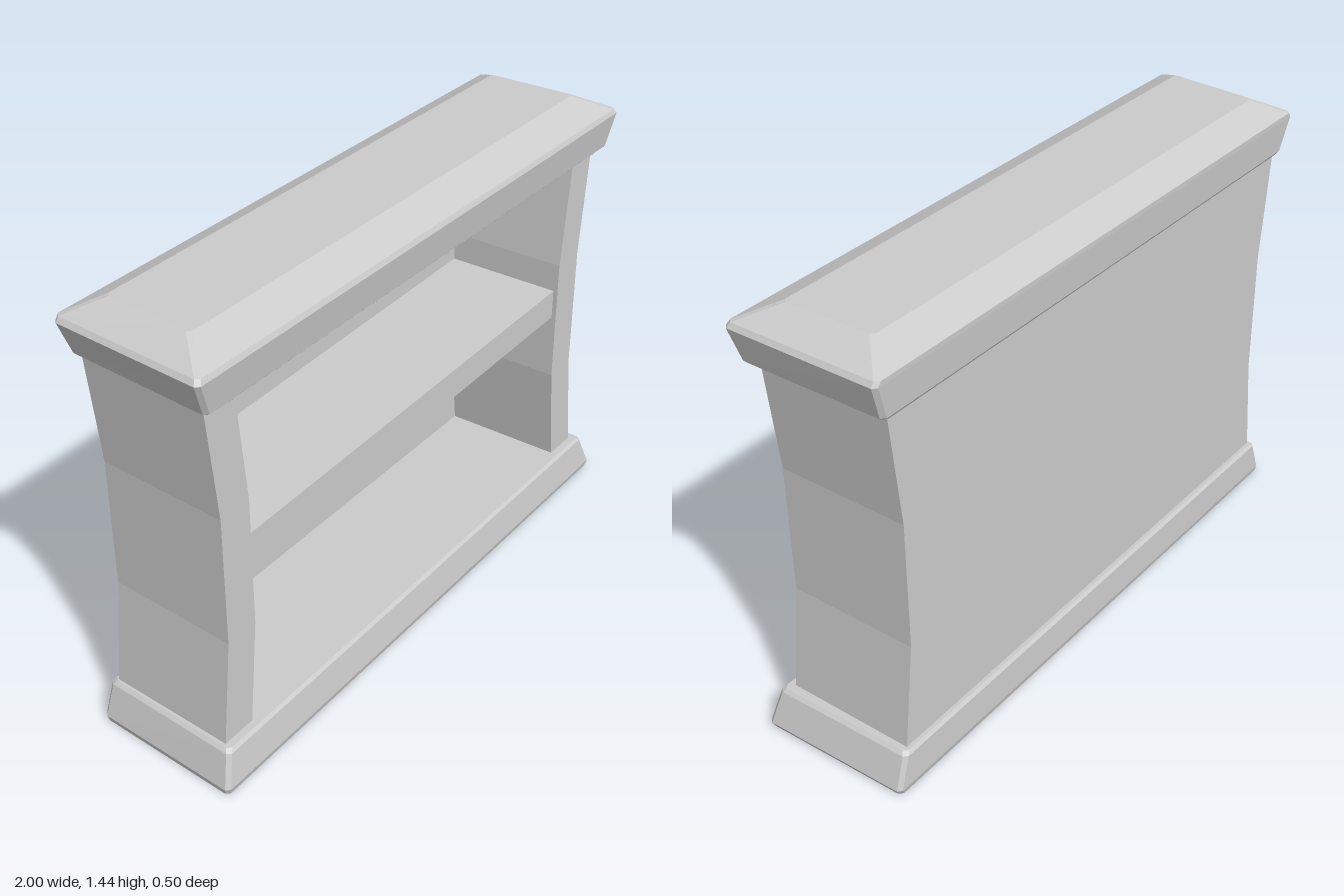
import * as THREE from 'three';

const material = new THREE.MeshStandardMaterial({ color: 0xcccccc, flatShading: true });

// Four-cornered ring [y, left, right, back, front]; 'taper' draws in the back corners,
// 'cut' chamfers the upright edges.
function ring([y, x0, x1, zb, zf], [taperL, taperR], cut) {
  const corners = [[x0, zf], [x1, zf], [x1 - taperR, zb], [x0 + taperL, zb]]
    .map(([x, z]) => new THREE.Vector3(x, y, z));
  if (!cut) return corners;
  return corners.flatMap((p, i) => [corners[(i + 3) % 4], corners[(i + 1) % 4]]
    .map((q) => p.clone().addScaledVector(q.clone().sub(p).normalize(), cut)));
}

// Closed, flat-shaded solid through a stack of rings
function loft(name, sections, taper = [0, 0], cut = 0) {
  const rings = sections.map((s) => ring(s, taper, cut));
  const n = rings[0].length;
  const points = [];
  for (let k = 0; k + 1 < rings.length; k++) {
    for (let i = 0; i < n; i++) {
      const j = (i + 1) % n;
      const [a, b, c, d] = [rings[k][i], rings[k][j], rings[k + 1][j], rings[k + 1][i]];
      points.push(a, b, c, a, c, d);
    }
  }
  const low = rings[0], high = rings[rings.length - 1];
  for (let i = 1; i + 1 < n; i++) {
    points.push(low[0], low[i + 1], low[i], high[0], high[i], high[i + 1]);
  }
  const geometry = new THREE.BufferGeometry().setFromPoints(points);
  geometry.computeVertexNormals();
  const mesh = new THREE.Mesh(geometry, material);
  mesh.name = name;
  return mesh;
}

export function createModel() {
  const group = new THREE.Group();
  group.name = 'bookcase';
  const back = -0.22, front = 0.2, inner = -0.2;

  // Flared plinth with softened edges
  group.add(loft('base', [
    [0, -0.985, 0.99, -0.24, 0.245],
    [0.02, -0.99, 1.0, -0.245, 0.25],
    [0.125, -0.957, 0.962, -0.24, 0.232],
    [0.135, -0.947, 0.952, -0.232, 0.223],
  ], [0.015, 0.02], 0.012));

  // Cornice: flared out, then sloping in to a flat top
  group.add(loft('top', [
    [1.26, -0.95, 0.945, -0.232, 0.225],
    [1.27, -0.96, 0.955, -0.238, 0.235],
    [1.375, -1.0, 0.985, -0.245, 0.25],
    [1.39, -0.99, 0.975, -0.245, 0.243],
    [1.44, -0.9, 0.88, -0.15, 0.14],
  ], [0.015, 0.015], 0.012));

  // Waisted side panels: [y, outer left, inner left, inner right, outer right]
  const waist = [
    [0.13, -0.935, -0.82, 0.81, 0.925],
    [0.48, -0.897, -0.785, 0.77, 0.883],
    [0.9, -0.897, -0.785, 0.77, 0.883],
    [1.265, -0.935, -0.82, 0.81, 0.92],
  ];
  group.add(loft('rightSide', waist.map(([y, a, b]) => [y, a, b, back, front]), [0.01, -0.012]));
  group.add(loft('leftSide', waist.map(([y, , , c, d]) => [y, c, d, back, front]), [-0.012, 0.01]));

  // Thin back board following the waist
  group.add(loft('backPanel', waist.map(([y, a, , , d]) => [y, a + 0.03, d - 0.03, back, inner])));

  // Slightly crooked shelf
  const shelf = loft('shelf', [
    [-0.05, -0.785, 0.77, inner, 0.185],
    [0.05, -0.785, 0.77, inner, 0.185],
  ]);
  shelf.position.y = 0.737;
  shelf.rotation.z = 0.02;
  group.add(shelf);

  return group;
}
